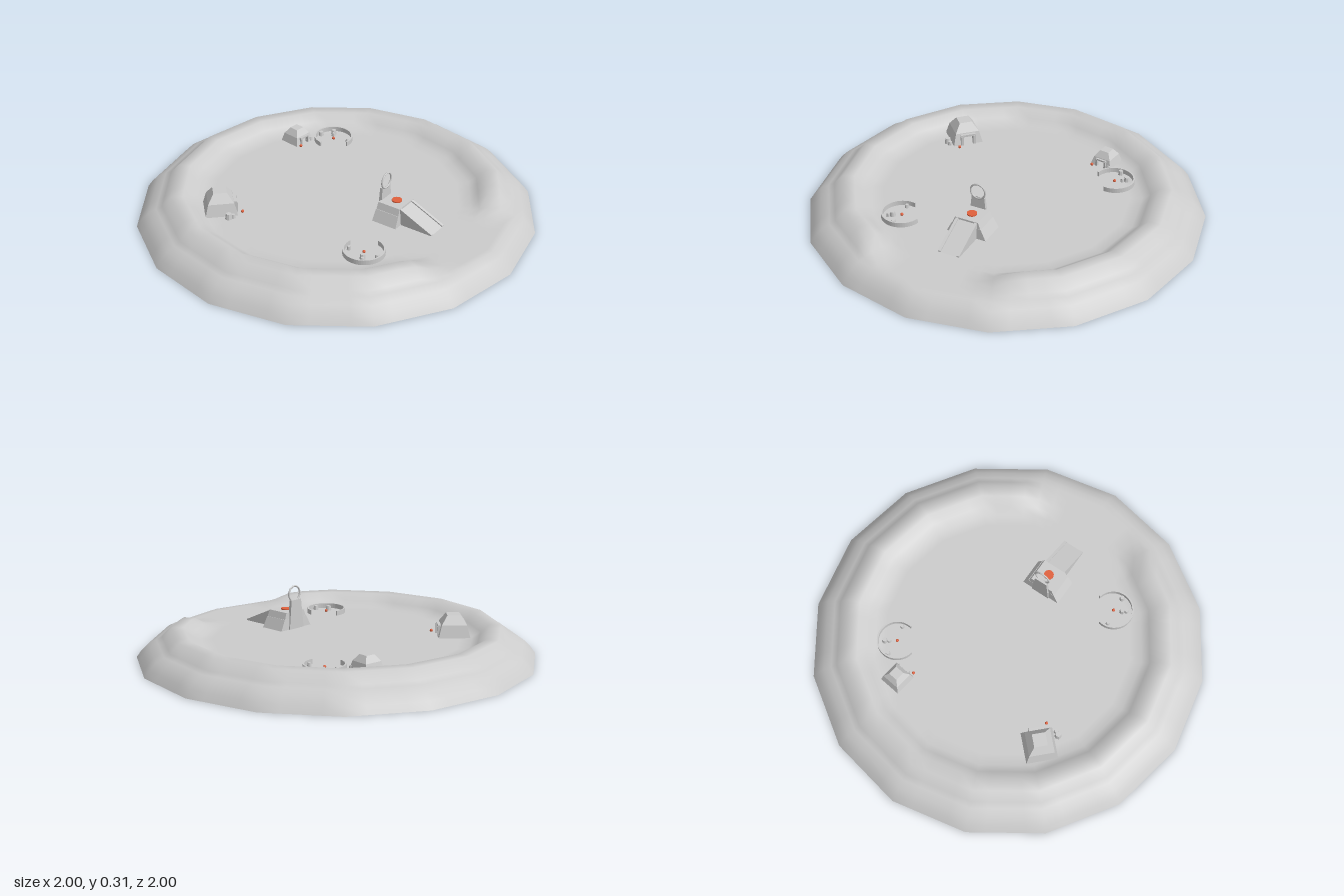
import * as THREE from 'three';

const GROUND = 0.09;
const grey = new THREE.MeshStandardMaterial({ color: 0xcccccc, side: THREE.DoubleSide });
const flat = new THREE.MeshStandardMaterial({ color: 0xcccccc, flatShading: true, side: THREE.DoubleSide });
const ember = new THREE.MeshStandardMaterial({ color: 0xe0603c });

function add(parent, name, geometry, material, x = 0, y = 0, z = 0) {
  const mesh = new THREE.Mesh(geometry, material);
  mesh.name = name;
  mesh.position.set(x, y, z);
  parent.add(mesh);
  return mesh;
}

// Box standing on y = 0 whose top is narrowed to topW x topD
function taperedBox(w, h, d, topW, topD) {
  const g = new THREE.BoxGeometry(w, h, d).translate(0, h / 2, 0);
  const p = g.attributes.position;
  for (let i = 0; i < p.count; i++) {
    if (p.getY(i) > h / 2) p.setXYZ(i, p.getX(i) * topW / w, h, p.getZ(i) * topD / d);
  }
  return g;
}

// Sixteen-sided island with a raised rim that dips at the front
function islandGeometry() {
  const profile = [[1, 0], [0.975, 0.035], [0.94, 0.07], [0.9, 0.09], [0.87, 0.103], [0.825, 0.15],
    [0.765, 0.15], [0.72, 0.115], [0.68, GROUND], [0.62, GROUND], [0, GROUND]];
  const segs = 64, step = Math.PI / 8, pos = [], index = [];
  profile.forEach(([r, h], i) => {
    for (let j = 0; j < segs; j++) {
      const a = j / segs * Math.PI * 2;
      const polygon = Math.cos(step / 2) / Math.cos((a % step) - step / 2);
      const fromFront = THREE.MathUtils.radToDeg(Math.min(a, Math.PI * 2 - a));
      const rise = THREE.MathUtils.smoothstep(fromFront, 16, 31);
      const y = h > GROUND ? GROUND + (h - GROUND) * rise : h;
      pos.push(r * polygon * Math.sin(a), y, r * polygon * Math.cos(a));
      if (i < profile.length - 1) {
        const k = (j + 1) % segs, p = i * segs, q = p + segs;
        index.push(p + j, p + k, q + j, p + k, q + k, q + j);
      }
    }
  });
  const g = new THREE.BufferGeometry();
  g.setAttribute('position', new THREE.Float32BufferAttribute(pos, 3));
  g.setIndex(index);
  g.computeVertexNormals();
  return g;
}

// Leaning wall panel; b and t are the half widths at bottom and top
function panelGeometry(b, t, h, door) {
  const slant = Math.hypot(h, b - t), s = new THREE.Shape();
  s.moveTo(-b, 0);
  if (door) {
    s.lineTo(-door, 0);
    s.lineTo(-door, slant * 0.75);
    s.lineTo(door, slant * 0.75);
    s.lineTo(door, 0);
  }
  s.lineTo(b, 0);
  s.lineTo(t, slant);
  s.lineTo(-t, slant);
  return new THREE.ShapeGeometry(s).rotateX(-Math.atan2(b - t, h)).translate(0, 0, b);
}

// Hollow hut of two leaning tiers with a framed doorway
function hut(x, z, turn, s, height) {
  const g = new THREE.Group();
  g.name = 'hut';
  g.position.set(x, GROUND, z);
  g.rotation.y = turn;
  const lower = height * 0.58;
  for (let i = 0; i < 4; i++) {
    add(g, 'lowerWall', panelGeometry(s, s * 0.8, lower, i === 0 ? s * 0.32 : 0), flat).rotation.y = i * Math.PI / 2;
    add(g, 'upperWall', panelGeometry(s * 0.8, s * 0.42, height - lower), flat, 0, lower).rotation.y = i * Math.PI / 2;
  }
  add(g, 'roof', new THREE.BoxGeometry(s * 0.84, 0.004, s * 0.84), flat, 0, height - 0.002);
  for (const side of [-1, 1]) {
    add(g, 'doorPost', new THREE.BoxGeometry(s * 0.18, lower * 0.82, s * 0.28), flat, side * s * 0.42, lower * 0.41, s * 0.92);
  }
  add(g, 'lintel', new THREE.BoxGeometry(s, s * 0.14, s * 0.26), flat, 0, lower * 0.83, s * 0.88);
  return g;
}

function pot(parent, x, z, r) {
  add(parent, 'pot', new THREE.CylinderGeometry(r * 0.75, r, r * 1.6, 8), flat, x, GROUND + r * 0.8, z);
}

function light(parent, x, z, r) {
  add(parent, 'ember', new THREE.SphereGeometry(r, 8, 6), ember, x, GROUND + r, z);
}

// Low curved wall around a fire; the gap starts at angle "from" on the ground plane
function camp(x, z, from, sweep, pots) {
  const g = new THREE.Group();
  g.name = 'camp';
  const s = new THREE.Shape();
  s.absarc(0, 0, 0.102, from, from + sweep, false);
  s.absarc(0, 0, 0.094, from + sweep, from, true);
  const wall = new THREE.ExtrudeGeometry(s, { depth: 0.025, bevelEnabled: false, curveSegments: 20 });
  add(g, 'curvedWall', wall.rotateX(-Math.PI / 2), flat, x, GROUND, z);
  light(g, x, z, 0.008);
  for (const [px, pz, r] of pots) pot(g, px, pz, r);
  return g;
}

// Stepped platform with a ramp, glowing disc and upright ring
function shrine() {
  const g = new THREE.Group();
  g.name = 'shrine';
  g.position.set(0, GROUND, 0.355);
  add(g, 'base', taperedBox(0.21, 0.055, 0.135, 0.155, 0.128), flat);
  add(g, 'platform', taperedBox(0.15, 0.033, 0.126, 0.124, 0.122), flat, 0, 0.055);
  add(g, 'glowingDisc', new THREE.CylinderGeometry(0.025, 0.025, 0.006, 20), ember, 0, 0.091, 0.005);
  add(g, 'pylon', taperedBox(0.1, 0.15, 0.018, 0.068, 0.014), flat, 0, 0, -0.064);
  add(g, 'ring', new THREE.TorusGeometry(0.039, 0.0045, 8, 32), grey, 0, 0.18, -0.057);
  // Ramp and its side kerbs, drawn in profile and extruded across
  const slope = (lift, width, x) => {
    const s = new THREE.Shape([[0.06, 0], [0.24, 0], [0.24, lift], [0.06, 0.08 + lift]].map(p => new THREE.Vector2(...p)));
    const geo = new THREE.ExtrudeGeometry(s, { depth: width, bevelEnabled: false });
    return geo.rotateY(-Math.PI / 2).translate(x + width / 2, 0, 0);
  };
  add(g, 'ramp', slope(0, 0.1, 0), flat);
  for (const side of [-1, 1]) add(g, 'rampKerb', slope(0.006, 0.014, side * 0.05), flat);
  return g;
}

export function createModel() {
  const model = new THREE.Group();
  model.name = 'islandVillage';
  add(model, 'island', islandGeometry(), grey);
  add(model, 'underside', new THREE.CircleGeometry(1, 16).rotateX(Math.PI / 2), grey);
  model.add(shrine());

  // Large hut with pots and a light by the door
  model.add(hut(-0.447, -0.383, 0.78, 0.079, 0.107));
  pot(model, -0.495, -0.29, 0.018);
  pot(model, -0.475, -0.278, 0.012);
  light(model, -0.413, -0.27, 0.008);

  // Small hut
  model.add(hut(0.33, -0.495, -0.13, 0.058, 0.075));
  pot(model, 0.372, -0.437, 0.012);
  light(model, 0.278, -0.43, 0.008);

  // Camps
  model.add(camp(-0.36, 0.415, 1.35, 4.75,
    [[-0.375, 0.34, 0.011], [-0.4, 0.435, 0.015], [-0.418, 0.447, 0.011], [-0.362, 0.493, 0.014]]));
  model.add(camp(0.445, -0.337, -1.75, 4.75,
    [[0.445, -0.418, 0.014], [0.497, -0.372, 0.015], [0.478, -0.36, 0.011], [0.468, -0.262, 0.011]]));
  return model;
}
